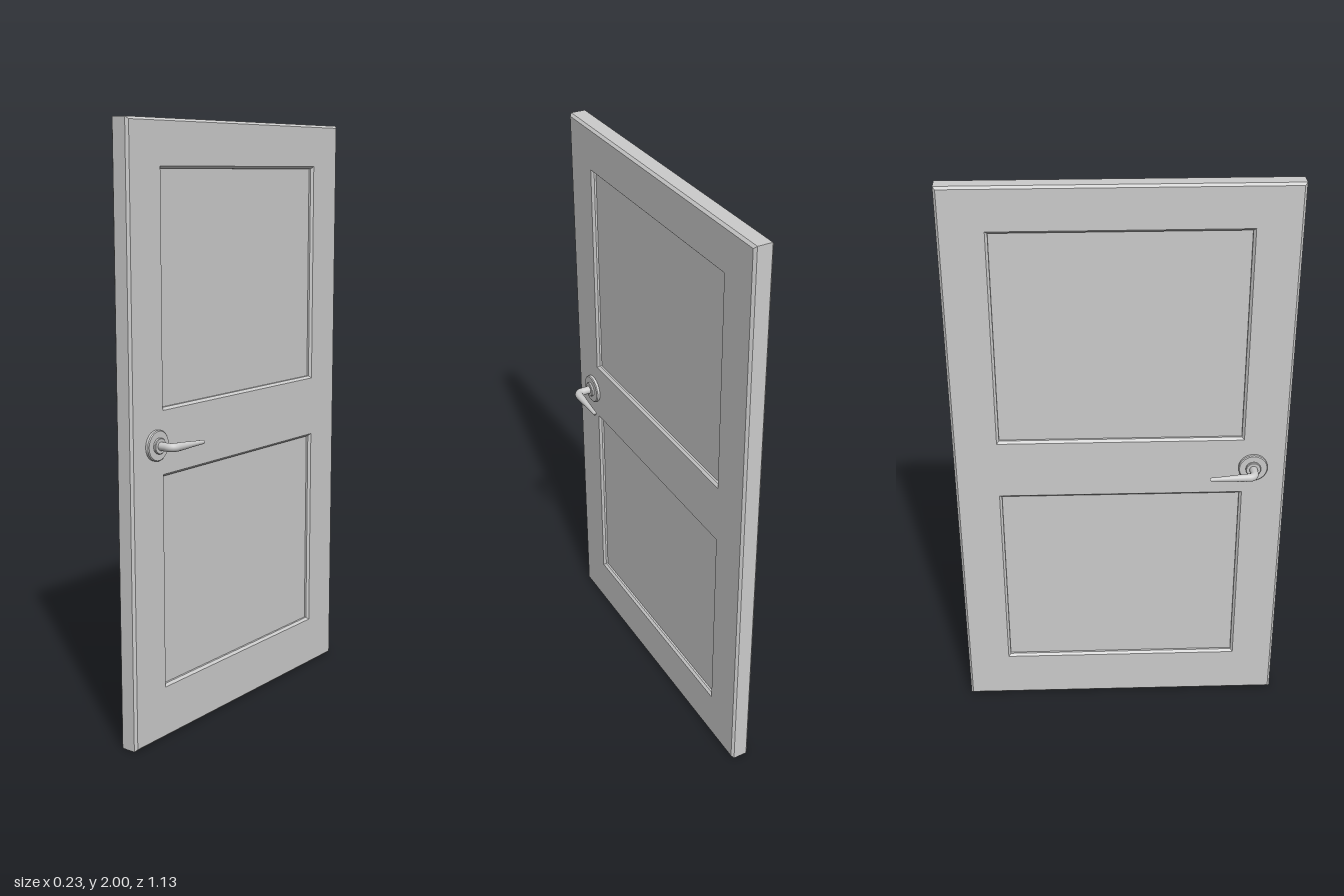
import * as THREE from 'three';
import { toCreasedNormals } from 'three/addons/utils/BufferGeometryUtils.js';

const material = new THREE.MeshStandardMaterial({ color: 0xcccccc });

const HALF_THICK = 0.033, HALF_WIDTH = 0.567, HEIGHT = 2, BEVEL = 0.008, RECESS = 0.015;
const HANDLE_Y = 0.992, HANDLE_Z = 0.452;
// bottom and top of each recessed panel
const PANELS = { upperPanel: [1.107, 1.848], lowerPanel: [0.184, 0.884] };
const PANEL_HALF_WIDTH = 0.41;

function addMesh(parent, name, geometry) {
  const mesh = new THREE.Mesh(geometry, material);
  mesh.name = name;
  parent.add(mesh);
  return mesh;
}

function rectangle(Type, halfWidth, y0, y1) {
  const points = [[-halfWidth, y0], [halfWidth, y0], [halfWidth, y1], [-halfWidth, y1]];
  return new Type(points.map(([x, y]) => new THREE.Vector2(x, y)));
}

// Chamfered door frame with two openings
function frameGeometry() {
  const shape = rectangle(THREE.Shape, HALF_WIDTH, 0, HEIGHT);
  for (const [y0, y1] of Object.values(PANELS)) {
    shape.holes.push(rectangle(THREE.Path, PANEL_HALF_WIDTH, y0, y1));
  }
  const depth = 2 * (HALF_THICK - BEVEL);
  const geometry = new THREE.ExtrudeGeometry(shape, {
    depth, bevelEnabled: true, bevelThickness: BEVEL, bevelSize: BEVEL,
    bevelOffset: -BEVEL, bevelSegments: 1,
  });
  return geometry.translate(0, 0, -depth / 2).rotateY(-Math.PI / 2);
}

// Stepped round plate behind the lever
function rosetteGeometry(side) {
  const profile = [[0.05, 0], [0.05, 0.009], [0.047, 0.012], [0.026, 0.012],
    [0.026, 0.018], [0.024, 0.02], [0, 0.02]].map(([r, h]) => new THREE.Vector2(r, h));
  return toCreasedNormals(new THREE.LatheGeometry(profile, 40), 0.6)
    .rotateZ(-side * Math.PI / 2);
}

// Bent lever that tapers to a rounded tip
function leverGeometry(side) {
  const point = (x, y, z) => new THREE.Vector3(side * x, y, z);
  const path = new THREE.CurvePath();
  path.add(new THREE.LineCurve3(point(0.035, 0, 0), point(0.078, 0, 0)));
  path.add(new THREE.QuadraticBezierCurve3(point(0.078, 0, 0), point(0.102, 0, 0), point(0.102, 0, -0.024)));
  path.add(new THREE.LineCurve3(point(0.102, 0, -0.024), point(0.104, -0.004, -0.154)));

  const segments = 64, sides = 16, length = path.getLength();
  const geometry = new THREE.TubeGeometry(path, segments, 0.014, sides, false);
  const position = geometry.attributes.position;
  const vertex = new THREE.Vector3();
  for (let i = 0; i <= segments; i++) {
    const t = i / segments;
    const centre = path.getPointAt(t);
    const toTip = (1 - t) * length;
    const round = Math.min(1, toTip / 0.008);
    const scale = THREE.MathUtils.lerp(1, 0.5, THREE.MathUtils.smoothstep(t, 0.3, 1))
      * Math.sqrt(1 - (1 - round) ** 2);
    for (let j = 0; j <= sides; j++) {
      const k = i * (sides + 1) + j;
      vertex.fromBufferAttribute(position, k).sub(centre).multiplyScalar(scale).add(centre);
      position.setXYZ(k, vertex.x, vertex.y, vertex.z);
    }
  }
  return geometry;
}

export function createModel() {
  const door = new THREE.Group();
  door.name = 'door';
  addMesh(door, 'doorFrame', frameGeometry());

  // Recessed panels fill the openings
  for (const [name, [y0, y1]] of Object.entries(PANELS)) {
    const panel = addMesh(door, name, new THREE.BoxGeometry(
      2 * (HALF_THICK - RECESS), y1 - y0 + 0.004, 2 * PANEL_HALF_WIDTH + 0.004));
    panel.position.y = (y0 + y1) / 2;
  }

  // A handle on each face
  for (const side of [1, -1]) {
    const handle = new THREE.Group();
    handle.name = side > 0 ? 'leftHandle' : 'rightHandle';
    handle.position.set(0, HANDLE_Y, HANDLE_Z);
    addMesh(handle, 'rosette', rosetteGeometry(side)).position.x = side * HALF_THICK;
    addMesh(handle, 'lever', leverGeometry(side));
    door.add(handle);
  }
  return door;
}
